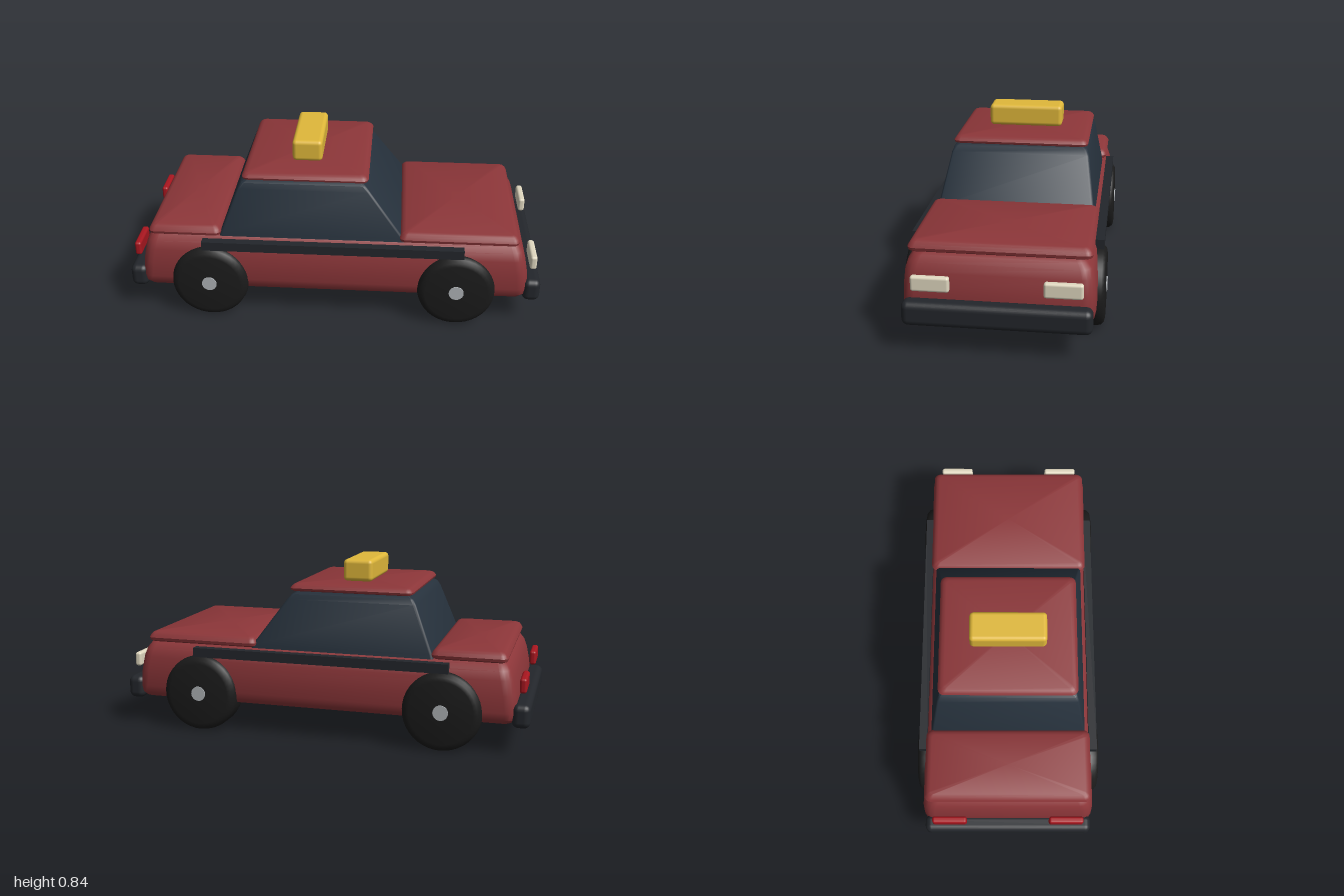
import * as THREE from 'three';
import { toCreasedNormals } from 'three/addons/utils/BufferGeometryUtils.js';
import { RoundedBoxGeometry } from 'three/addons/geometries/RoundedBoxGeometry.js';

const paint = (color) => new THREE.MeshStandardMaterial({ color });
const red = paint(0x8c3639), glass = paint(0x26313c), rubber = paint(0x1b1b1b), trim = paint(0x23262b);
const yellow = paint(0xe0b83a), cream = paint(0xe0d8c0), tailRed = paint(0xa8161f), metal = paint(0xb0b4b8);

// Stacks rounded rectangles; each level is [y, xMin, xMax, halfDepth, cornerRadius]
function loft(levels, steps = 4) {
  const pos = [], index = [], n = 4 * (steps + 1);
  for (const [y, x0, x1, d, r] of levels) {
    for (let q = 0; q < 4; q++) {
      const cx = q === 0 || q === 3 ? x1 - r : x0 + r;
      const cz = q < 2 ? d - r : r - d;
      for (let s = 0; s <= steps; s++) {
        const a = (q + s / steps) * Math.PI / 2;
        pos.push(cx + r * Math.cos(a), y, cz + r * Math.sin(a));
      }
    }
  }
  const bottom = levels.length * n, top = bottom + 1, last = (levels.length - 1) * n;
  for (const l of [levels[0], levels[levels.length - 1]]) pos.push((l[1] + l[2]) / 2, l[0], 0);
  for (let i = 0; i < n; i++) {
    const j = (i + 1) % n;
    for (let k = 0; k < last; k += n) {
      index.push(k + i, k + n + i, k + j, k + j, k + n + i, k + n + j);
    }
    index.push(bottom, i, j, top, last + j, last + i);
  }
  const geo = new THREE.BufferGeometry();
  geo.setAttribute('position', new THREE.Float32BufferAttribute(pos, 3));
  geo.setIndex(index);
  return toCreasedNormals(geo, 0.6);
}

// Thin panel with a softened rim
function panel(x0, x1, y0, y1, d) {
  const h = y1 - y0;
  const level = (t, inset) => [y0 + h * t, x0 + inset, x1 - inset, d - inset, 0.03 - inset * 0.5];
  return loft([level(0, 0.014), level(0.14, 0.003), level(0.4, 0), level(0.65, 0.006), level(0.88, 0.016), level(1, 0.03)]);
}

export function createModel() {
  const car = new THREE.Group();
  car.name = 'car';
  const add = (name, geo, mat, x = 0, y = 0, z = 0) => {
    const mesh = new THREE.Mesh(geo, mat);
    mesh.name = name;
    mesh.position.set(x, y, z);
    car.add(mesh);
    return mesh;
  };
  const block = (w, h, d, r) => new RoundedBoxGeometry(w, h, d, 3, r);

  // Lower body, tapering towards the shoulders
  const body = [
    [0.14, 0.885, 0.375, 0.03], [0.147, 0.915, 0.397, 0.04], [0.165, 0.934, 0.411, 0.05],
    [0.2, 0.94, 0.418, 0.055], [0.28, 0.931, 0.417, 0.055], [0.35, 0.917, 0.411, 0.055],
    [0.39, 0.903, 0.398, 0.05], [0.415, 0.885, 0.376, 0.04], [0.43, 0.86, 0.35, 0.03],
  ].map(([y, x, z, r]) => [y, -x, x, z, r]);
  add('body', loft(body), red);

  // Hood, trunk lid, glasshouse and roof
  add('hood', panel(0.315, 0.882, 0.425, 0.475, 0.4), red);
  add('trunkLid', panel(-0.89, -0.54, 0.425, 0.475, 0.4), red);
  add('cabinGlass', loft([
    [0.42, -0.55, 0.345, 0.378, 0.015], [0.44, -0.545, 0.335, 0.375, 0.015],
    [0.66, -0.458, 0.172, 0.337, 0.015], [0.685, -0.442, 0.15, 0.326, 0.015],
    [0.702, -0.41, 0.12, 0.295, 0.012],
  ]), glass);
  add('roof', panel(-0.438, 0.162, 0.698, 0.735, 0.33), red);
  add('roofSign', block(0.145, 0.106, 0.366, 0.02), yellow, -0.138, 0.788, 0);

  // Bumpers and lamps at both ends
  for (const s of [1, -1]) {
    const end = s > 0 ? 'front' : 'rear';
    add(end + 'Bumper', block(0.084, 0.112, 0.82, 0.03), trim, s * 0.958, 0.185, 0);
    for (const side of [1, -1]) {
      add(s > 0 ? 'headlight' : 'tailLight', block(0.032, 0.07, 0.168, 0.012),
        s > 0 ? cream : tailRed, s * 0.96, 0.32, side * 0.284);
    }
  }

  // Side strips, wheels and hubs
  const profile = [[0, -0.075], [0.15, -0.075], [0.168, -0.071], [0.182, -0.058], [0.187, -0.035],
    [0.187, 0.035], [0.182, 0.058], [0.168, 0.071], [0.15, 0.075], [0, 0.075]];
  const tire = toCreasedNormals(new THREE.LatheGeometry(
    profile.map(([r, y]) => new THREE.Vector2(r, y)), 40).rotateX(Math.PI / 2), 0.7);
  const hub = new THREE.CylinderGeometry(0.036, 0.036, 0.152, 20).rotateX(Math.PI / 2);
  for (const side of [1, -1]) {
    add('sideStrip', new THREE.BoxGeometry(1.25, 0.045, 0.04), trim, -0.003, 0.393, side * 0.417);
    for (const x of [-0.6, 0.595]) {
      add('wheel', tire, rubber, x, 0.187, side * 0.375);
      add('hub', hub, metal, x, 0.19, side * 0.379);
    }
  }
  return car;
}
